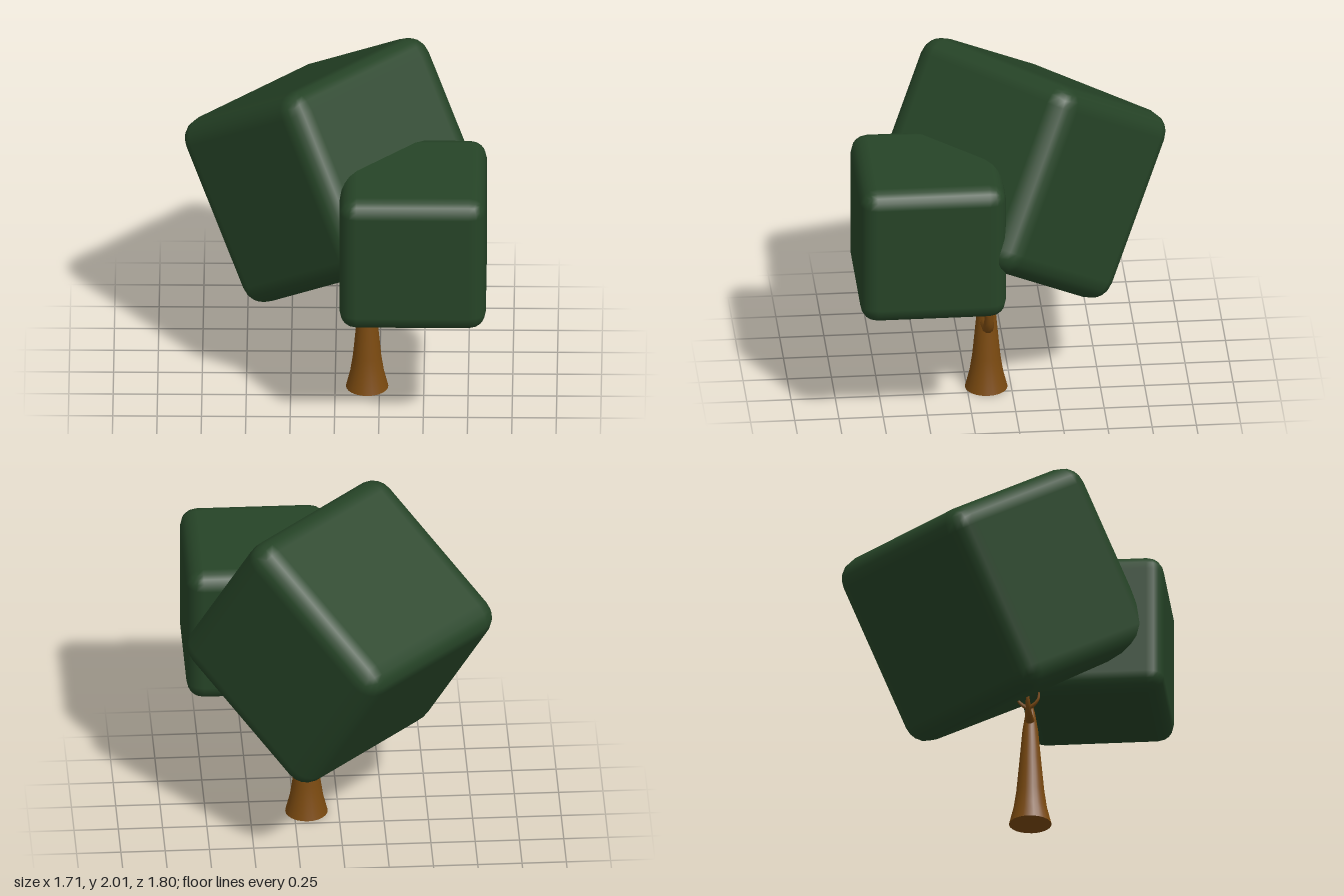
import * as THREE from 'three';
import { RoundedBoxGeometry } from 'three/addons/geometries/RoundedBoxGeometry.js';

const TRUNK_X = 0.18, TRUNK_Z = 0.14;

// Tube along a smooth path whose radius shrinks from r0 to r1
function taperedTube(points, r0, r1, segments = 16, sides = 10) {
  const curve = new THREE.CatmullRomCurve3(points.map(p => new THREE.Vector3(...p)));
  const geo = new THREE.TubeGeometry(curve, segments, 1, sides);
  const pos = geo.attributes.position;
  const v = new THREE.Vector3(), c = new THREE.Vector3();
  for (let i = 0; i < pos.count; i++) {
    const t = Math.floor(i / (sides + 1)) / segments;
    curve.getPointAt(t, c);
    v.fromBufferAttribute(pos, i).sub(c).multiplyScalar(r0 + (r1 - r0) * t).add(c);
    pos.setXYZ(i, v.x, v.y, v.z);
  }
  return geo;
}

export function createModel() {
  const leaf = new THREE.MeshStandardMaterial({ color: 0x264427 });
  leaf.name = 'leafGreen';
  const bark = new THREE.MeshStandardMaterial({ color: 0x7b4a10 });
  bark.name = 'barkBrown';

  const tree = new THREE.Group();
  tree.name = 'tree';
  const add = (name, geo, mat) => {
    const mesh = new THREE.Mesh(geo, mat);
    mesh.name = name;
    tree.add(mesh);
    return mesh;
  };

  // Foliage: a large tilted block and a small upright one
  const foliage = (name, size, x, y, z) => {
    const mesh = add(name, new RoundedBoxGeometry(size, size, size, 2, size * 0.115), leaf);
    mesh.position.set(x, y, z);
    return mesh;
  };
  const large = foliage('largeFoliage', 1.12, 0.003, 1.29, -0.046);
  large.rotation.set(-THREE.MathUtils.degToRad(32), Math.PI / 4, 0, 'YXZ');
  foliage('smallFoliage', 0.825, 0.443, 1.18, 0.49);

  // Trunk: flared foot, rounded tip
  const profile = [[0.12, 0], [0.095, 0.1], [0.08, 0.2], [0.061, 0.4], [0.045, 0.58],
    [0.027, 0.69], [0.016, 0.735], [0, 0.745]].map(([r, y]) => new THREE.Vector2(r, y));
  const trunk = add('trunk', new THREE.LatheGeometry(profile, 24), bark);
  trunk.position.set(TRUNK_X, 0, TRUNK_Z);

  // Underside of the trunk
  const base = add('trunkBase', new THREE.CircleGeometry(0.12, 24), bark);
  base.rotation.x = Math.PI / 2;
  base.position.set(TRUNK_X, 0, TRUNK_Z);

  // Left branch bends up into the small foliage
  add('leftBranch', taperedTube([[0.19, 0.43, TRUNK_Z], [0.28, 0.43, TRUNK_Z], [0.34, 0.465, TRUNK_Z],
    [0.37, 0.55, TRUNK_Z], [0.375, 0.66, TRUNK_Z], [0.375, 0.78, TRUNK_Z]], 0.04, 0.01), bark);

  // Right branch with a pair of curled twigs
  add('rightBranch', taperedTube([[0.18, 0.635, TRUNK_Z], [0.11, 0.635, TRUNK_Z], [0.055, 0.655, TRUNK_Z],
    [0.025, 0.695, TRUNK_Z], [0.01, 0.745, TRUNK_Z]], 0.03, 0.007), bark);
  for (const side of [-1, 1]) {
    add(side > 0 ? 'frontTwig' : 'backTwig', taperedTube([[0.05, 0.66, TRUNK_Z],
      [0.04, 0.68, TRUNK_Z + side * 0.035], [0.035, 0.71, TRUNK_Z + side * 0.058],
      [0.035, 0.75, TRUNK_Z + side * 0.062]], 0.014, 0.005, 10, 8), bark);
  }
  return tree;
}
